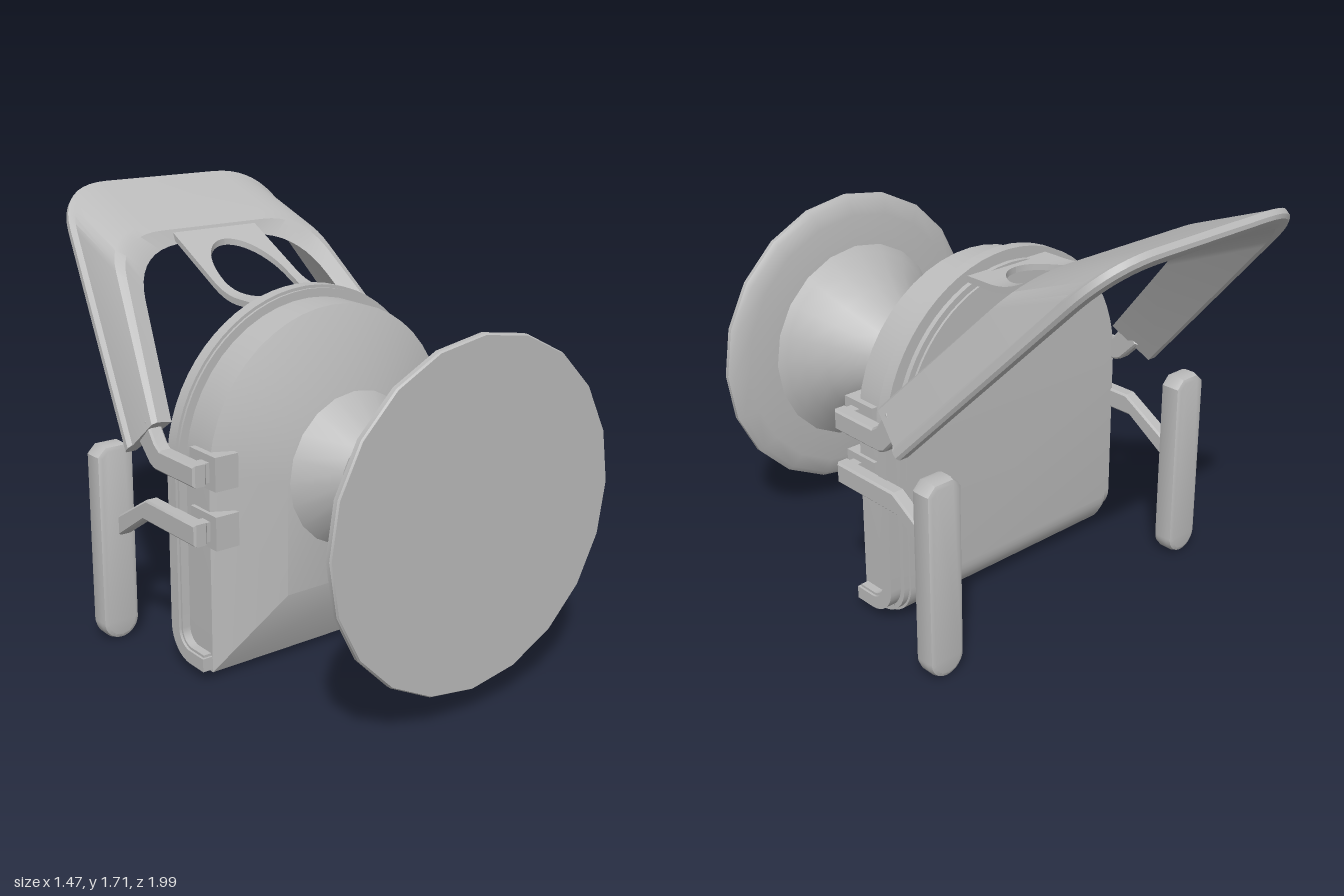
import * as THREE from 'three';
import { toCreasedNormals } from 'three/addons/utils/BufferGeometryUtils.js';

const grey = new THREE.MeshStandardMaterial({ color: 0xbababa });
grey.name = 'grey plastic';

function add(group, name, geometry, crease = 0.5) {
  const mesh = new THREE.Mesh(toCreasedNormals(geometry, crease), grey);
  mesh.name = name;
  group.add(mesh);
  return mesh;
}

// Solid through closed rings of [x, y, z] points, capped at both ends and turned outward
function loft(rings) {
  const n = rings[0].length, pos = rings.flat(2), idx = [];
  rings.slice(1).forEach((_, k) => {
    for (let i = 0; i < n; i++) {
      const a = k * n + i, b = k * n + (i + 1) % n;
      idx.push(a, b, b + n, a, b + n, a + n);
    }
  });
  [0, rings.length - 1].forEach((k, end) => {
    const c = pos.length / 3;
    for (let j = 0; j < 3; j++) pos.push(rings[k].reduce((s, p) => s + p[j], 0) / n);
    for (let i = 0; i < n; i++) {
      const a = k * n + i, b = k * n + (i + 1) % n;
      idx.push(c, ...(end ? [a, b] : [b, a]));
    }
  });
  const v = i => new THREE.Vector3().fromArray(pos, i * 3);
  let volume = 0;
  for (let i = 0; i < idx.length; i += 3) volume += v(idx[i]).dot(v(idx[i + 1]).cross(v(idx[i + 2])));
  if (volume < 0) idx.reverse();
  const g = new THREE.BufferGeometry();
  g.setAttribute('position', new THREE.Float32BufferAttribute(pos, 3));
  g.setIndex(idx);
  return g;
}

// Outline with a flat bottom and a round top
function domeRing(z, w, bottom, cy) {
  const ring = [[-w, bottom, z], [w, bottom, z]];
  for (let i = 0; i <= 24; i++) {
    const a = Math.PI * i / 24;
    ring.push([w * Math.cos(a), cy + w * Math.sin(a), z]);
  }
  return ring;
}

// Round-topped sheet whose lower end bends forward under the body
function bentSheet(w, cy, inner, outer, zEnd) {
  const bz = 0.11, by = 0.165, rings = [];
  const row = (hw, at) => {
    const [zo, yo] = at(outer), [zi, yi] = at(inner);
    rings.push([[-hw, yo, zo], [hw, yo, zo], [hw, yi, zi], [-hw, yi, zi]]);
  };
  for (let i = 0; i <= 16; i++) {
    const a = 0.02 + (Math.PI / 2 - 0.02) * i / 16;
    row(w * Math.sin(a), r => [bz - r, cy + w * Math.cos(a)]);
  }
  for (let i = 0; i <= 8; i++) {
    const a = Math.PI / 2 * i / 8;
    row(w, r => [bz - r * Math.cos(a), by - r * Math.sin(a)]);
  }
  row(w, r => [zEnd, by - r]);
  return loft(rings);
}

// One edge line of the tilted arch: foot half-width, top half-width, height, corner, depth
function archLine(foot, top, height, corner, depth) {
  const dir = new THREE.Vector2(foot - top, -height).normalize().multiplyScalar(corner);
  const curve = new THREE.QuadraticBezierCurve(
    new THREE.Vector2(top + dir.x, height + dir.y),
    new THREE.Vector2(top, height),
    new THREE.Vector2(top - corner, height));
  const half = [new THREE.Vector2(foot, 0), ...curve.getPoints(10)];
  const mirrored = half.map(p => new THREE.Vector2(-p.x, p.y)).reverse();
  return [...half, ...mirrored].map(p =>
    [p.x, 0.82 + 0.728 * p.y + 0.69 * depth, -0.18 - 0.686 * p.y + 0.72 * depth]);
}

// Side profile in [z, y], extruded along x
function sideBar(profile, x, width) {
  const shape = new THREE.Shape(profile.map(([z, y]) => new THREE.Vector2(-z, y)));
  const b = 0.008;
  return new THREE.ExtrudeGeometry(shape, {
    depth: width - 2 * b, bevelThickness: b, bevelSize: b, bevelOffset: -b, bevelSegments: 1,
  }).rotateY(Math.PI / 2).translate(x + b, 0, 0);
}

export function createModel() {
  const model = new THREE.Group();
  model.name = 'suctionMountHolder';

  // Suction cup, neck and collar in one turned piece
  const profile = [[0, 0.3], [0.3, 0.33], [0.16, 0.455], [0.13, 0.455], [0.13, 0.63], [0.165, 0.635],
    [0.22, 0.71], [0.28, 0.79], [0.345, 0.86], [0.4, 0.905], [0.43, 0.93], [0.56, 0.942],
    [0.625, 0.957], [0.645, 0.975], [0.645, 0.993], [0.64, 1], [0, 1]];
  add(model, 'suctionCup', new THREE.LatheGeometry(
    profile.map(p => new THREE.Vector2(...p)), 20).rotateX(Math.PI / 2).translate(0, 0.757, 0), 0.6);

  // Body with its tapered front
  add(model, 'body', loft([
    [0, 0.565, 0.165, 0.795], [0.03, 0.565, 0.065, 0.795], [0.11, 0.565, 0.035, 0.795],
    [0.2, 0.565, 0.03, 0.795], [0.33, 0.31, 0.32, 0.755],
  ].map(r => domeRing(...r))));

  // Rim and back plate
  add(model, 'rim', bentSheet(0.598, 0.795, 0.06, 0.075, 0.19));
  add(model, 'rimRidge', bentSheet(0.608, 0.797, 0.07, 0.122, 0.2));
  add(model, 'backPlate', bentSheet(0.56, 0.8, 0.115, 0.143, 0.12));
  add(model, 'backPanel', bentSheet(0.535, 0.8, 0.13, 0.153, 0.11));

  // Tilted arch
  const lines = [
    [0.68, 0.48, 1.185, 0.22, 0], [0.69, 0.49, 1.195, 0.22, 0.012], [0.69, 0.49, 1.195, 0.22, 0.035],
    [0.675, 0.475, 1.16, 0.21, 0.05], [0.655, 0.48, 0.85, 0.2, 0.2],
    [0.635, 0.45, 0.81, 0.2, 0.212], [0.565, 0.39, 0.755, 0.24, 0.19], [0.64, 0.44, 1.14, 0.2, 0],
  ].map(l => archLine(...l));
  add(model, 'arch', loft(lines[0].map((_, i) => lines.map(l => l[i]))));

  // Top strut, an S-bent strip with an oval hole, made of two mirrored halves
  const strut = new THREE.Group();
  strut.name = 'topStrut';
  model.add(strut);
  const zs = [0.03];
  for (let i = 0; i <= 24; i++) zs.push(-0.285 + 0.225 * Math.cos(Math.PI * i / 24));
  zs.push(-0.56, -0.62);
  for (const side of [1, -1]) {
    add(strut, 'strutHalf', loft(zs.map(z => {
      const t = (z + 0.285) / 0.225;
      const hole = 0.155 * Math.sqrt(Math.max(0, 1 - t * t));
      const d = Math.max(0, -z - 0.13);
      const y = 1.35 + (d < 0.16 ? 1.6 * d * d : 0.041 + 0.53 * (d - 0.16));
      return [[side * hole, y, z], [side * 0.2, y, z],
        [side * 0.2, y - 0.025, z], [side * hole, y - 0.025, z]];
    })));
  }

  // Clips, arms and side pads
  const upperArm = [[0.235, 0.87], [0.01, 0.87], [-0.02, 0.89], [-0.08, 0.97], [-0.15, 0.89],
    [-0.06, 0.8], [-0.03, 0.787], [0.235, 0.787]];
  const lowerArm = [[0.235, 0.648], [-0.1, 0.648], [-0.34, 0.505], [-0.34, 0.42],
    [-0.12, 0.562], [0.235, 0.562]];
  const padShape = new THREE.Shape();
  padShape.moveTo(-0.06, 0.08);
  padShape.absarc(0, 0.083, 0.06, Math.PI, Math.PI * 2, false);
  padShape.lineTo(0.06, 0.765);
  padShape.lineTo(0.035, 0.79);
  padShape.lineTo(-0.035, 0.79);
  padShape.lineTo(-0.06, 0.765);

  for (const side of [1, -1]) {
    const label = side > 0 ? 'left' : 'right';
    const bar = (name, points) => add(model, label + name,
      sideBar(points, side > 0 ? 0.597 : -0.655, 0.058), 0.4);
    bar('UpperArm', upperArm);
    bar('LowerArm', lowerArm);
    for (const y of [0.83, 0.605]) {
      // Socket on the body and the hooked arm end that enters it
      add(model, label + 'Socket', new THREE.BoxGeometry(0.1, 0.13, 0.165)
        .translate(side * 0.53, y, 0.18));
      add(model, label + 'Hook', new THREE.BoxGeometry(0.07, 0.075, 0.05)
        .translate(side * 0.595, y, 0.2));
    }
    add(model, label + 'Pad', new THREE.ExtrudeGeometry(padShape, {
      depth: 0.045, bevelThickness: 0.025, bevelSize: 0.02, bevelSegments: 2, curveSegments: 12,
    }).translate(side * 0.655, 0, -0.375));
  }
  return model;
}
